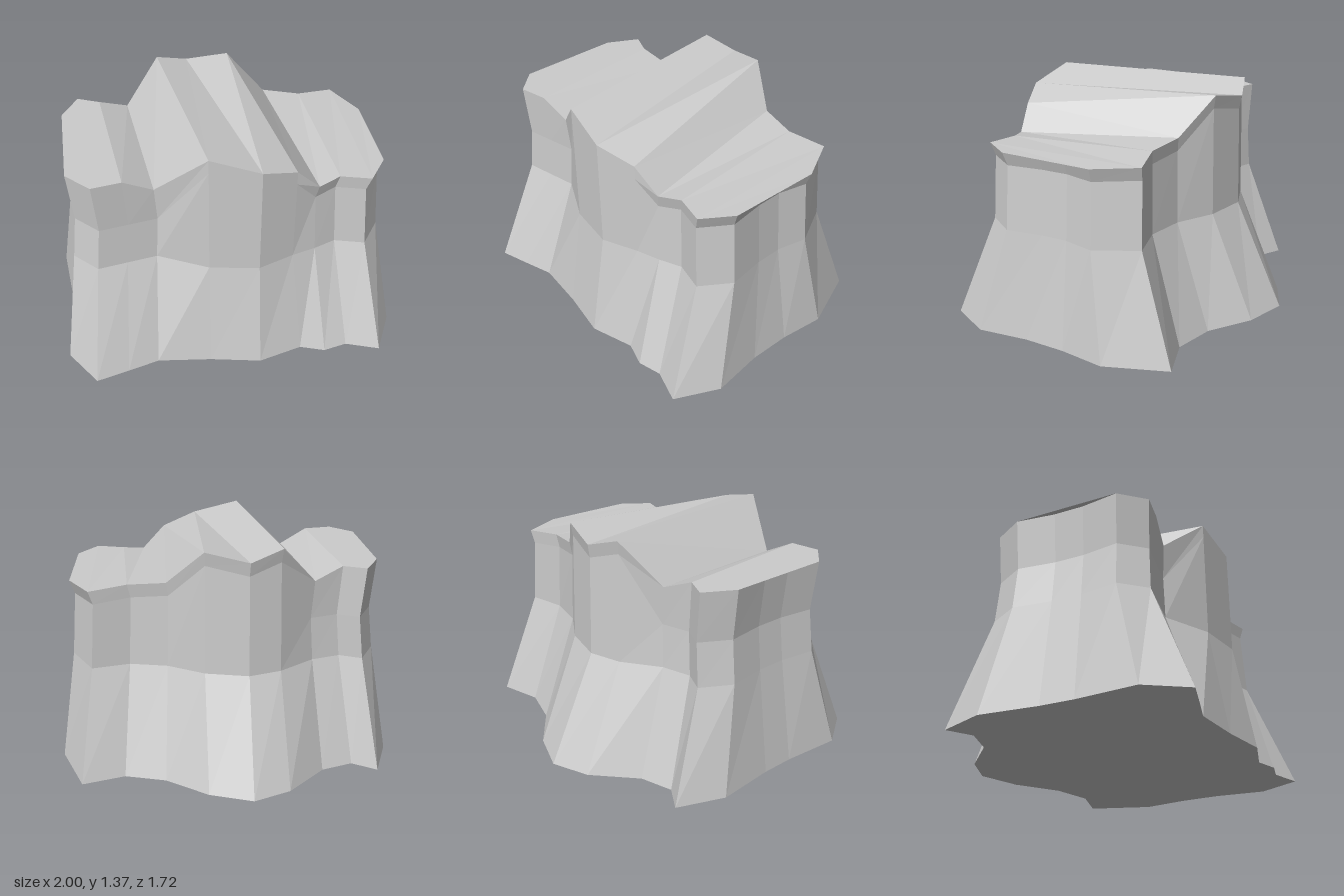
import * as THREE from 'three';

// Outline stations: [base x, base z, rim x, rim y, rim z]
// Front edge, left to right
const front = [
  [-1, 0.61, -0.91, 1.2, 0.45], [-0.85, 0.84, -0.78, 1.2, 0.59], [-0.66, 0.79, -0.61, 1.2, 0.56],
  [-0.48, 0.74, -0.44, 1.11, 0.53], [-0.17, 0.78, -0.16, 1.37, 0.68], [0.12, 0.84, 0.12, 1.29, 0.73],
  [0.38, 0.77, 0.33, 1.22, 0.65], [0.52, 0.82, 0.47, 1.08, 0.61], [0.66, 0.79, 0.6, 1.1, 0.56],
  [0.85, 0.86, 0.77, 1.1, 0.61], [0.98, 0.61, 0.89, 1.1, 0.44],
];
// Back edge, left to right; each station pairs with the front one
const back = [
  [-1, -0.3, -0.91, 1.2, -0.18], [-0.89, -0.58, -0.81, 1.2, -0.36], [-0.75, -0.49, -0.68, 1.2, -0.3],
  [-0.56, -0.55, -0.51, 1.13, -0.35], [-0.33, -0.77, -0.3, 1.37, -0.5], [-0.11, -0.86, -0.11, 1.31, -0.56],
  [0.14, -0.77, 0.14, 1.36, -0.5], [0.38, -0.59, 0.35, 1.15, -0.37], [0.62, -0.52, 0.57, 1.13, -0.32],
  [0.87, -0.59, 0.79, 1.11, -0.37], [1, -0.22, 0.91, 1.1, -0.12],
];
const rightSide = [[0.95, 0.3, 0.865, 1.1, 0.22], [0.96, 0.05, 0.865, 1.1, 0.06]];
const leftSide = [[-0.97, 0.05, -0.88, 1.2, 0.05], [-0.97, 0.25, -0.88, 1.2, 0.23]];

function facetedMesh(name, triangles) {
  const geometry = new THREE.BufferGeometry().setFromPoints(triangles);
  geometry.computeVertexNormals();
  const mesh = new THREE.Mesh(geometry, new THREE.MeshStandardMaterial({ color: 0xcccccc, flatShading: true }));
  mesh.name = name;
  return mesh;
}

const V = (x, y, z) => new THREE.Vector3(x, y, z);
const rimPoint = ([, , x, y, z]) => V(x, y, z);

// The four levels of one station: foot, waist, neck under the rim, rim
function column(s) {
  const [bx, bz, x, y, z] = s;
  const straight = z > 0 && Math.abs(x) < 0.4;
  const neckY = x < -0.4 ? 0.9 : y - 0.08;
  const neck = straight ? V(x, neckY, z) : V(x * 0.968, neckY, z * 0.975);
  return [V(bx, 0, bz), V(x, 0.64, z), neck, rimPoint(s)];
}

export function createModel() {
  const group = new THREE.Group();
  group.name = 'rock';
  const columns = [...front, ...rightSide, ...[...back].reverse(), ...leftSide].map(column);
  const quad = (out, a, b, c, d) => out.push(a, b, c, a, c, d);

  // Walls and underside
  const walls = [], underside = [];
  columns.forEach((a, i) => {
    const b = columns[(i + 1) % columns.length];
    for (let k = 0; k < 3; k++) quad(walls, a[k], b[k], b[k + 1], a[k + 1]);
    underside.push(V(0, 0, 0), b[0], a[0]);
  });

  // Ridged top: strips from the front rim to the back rim
  const top = [];
  const f = front.map(rimPoint), b = back.map(rimPoint);
  for (let i = 0; i < f.length - 1; i++) quad(top, f[i], f[i + 1], b[i + 1], b[i]);
  // Ends of the top, out to the side rims
  const r = rightSide.map(rimPoint), l = leftSide.map(rimPoint);
  quad(top, f[f.length - 1], r[0], r[1], b[b.length - 1]);
  quad(top, b[0], l[0], l[1], f[0]);

  group.add(facetedMesh('walls', walls), facetedMesh('ridgedTop', top), facetedMesh('underside', underside));
  return group;
}
